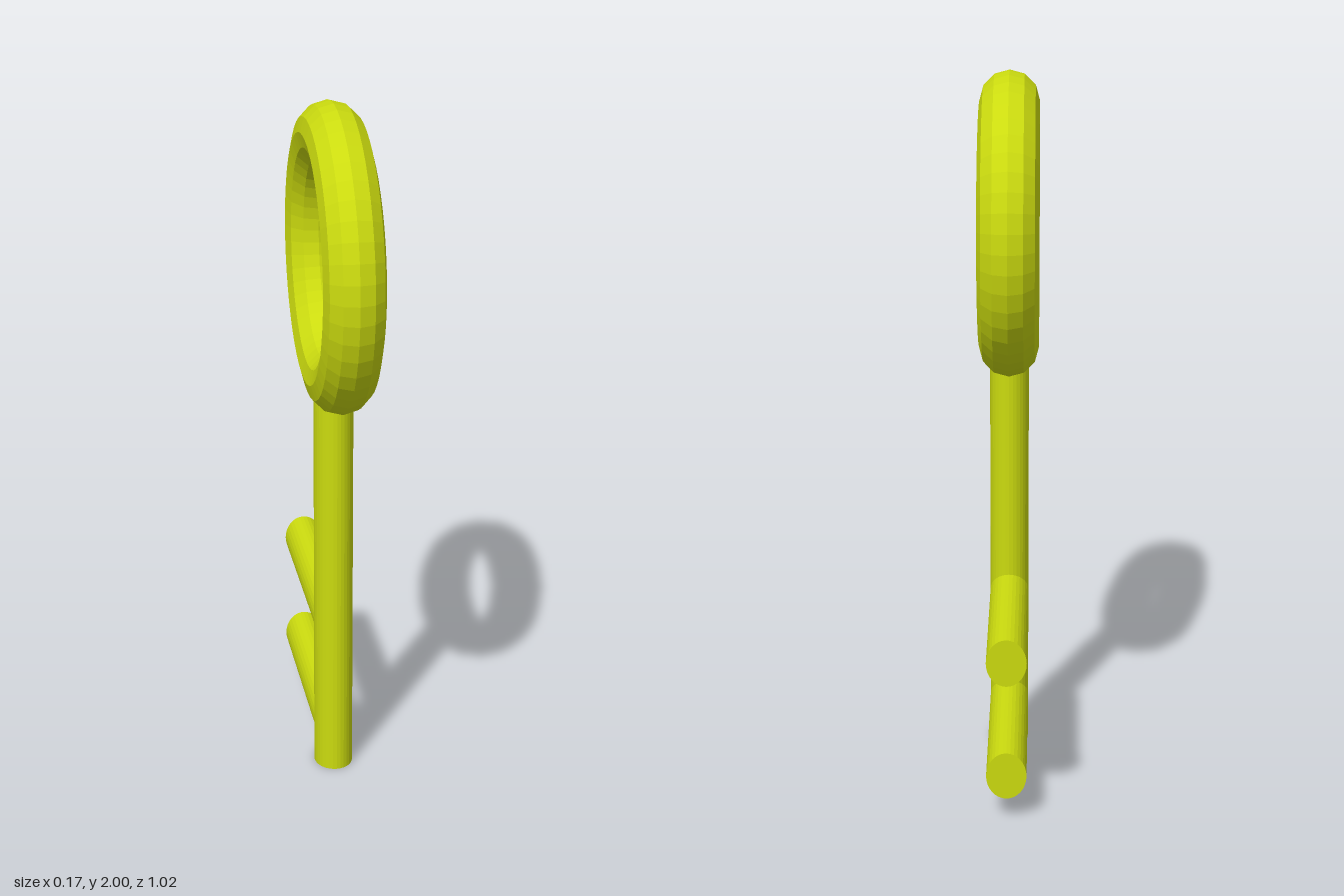
import * as THREE from 'three';

export function createModel() {
  const model = new THREE.Group();
  model.name = 'key';
  const yellow = new THREE.MeshStandardMaterial({ color: 0xcbdb0f, flatShading: true });
  yellow.name = 'yellow green';

  const centreZ = 0.077; // shaft axis
  const add = (name, geometry, x, y, z) => {
    const mesh = new THREE.Mesh(geometry, yellow);
    mesh.name = name;
    mesh.position.set(x, y, z);
    model.add(mesh);
  };

  // Oval rod, narrower across x
  const rod = (length) => new THREE.CylinderGeometry(1, 1, length, 32).scale(0.056, 1, 0.068);

  // Ring handle, facing sideways
  add('bow', new THREE.TorusGeometry(0.348, 0.085, 12, 48).rotateY(Math.PI / 2), 0, 1.567, centreZ);

  // Shaft, its top sunk into the ring
  const shaftLength = 1.19;
  add('shaft', rod(shaftLength), 0, shaftLength / 2, centreZ);

  // Two teeth pointing to the back
  const backZ = -0.511;
  const toothLength = centreZ - backZ;
  [['lowerTooth', 0.133], ['upperTooth', 0.467]].forEach(([name, y]) =>
    add(name, rod(toothLength).rotateX(-Math.PI / 2), 0, y, (centreZ + backZ) / 2));

  return model;
}
